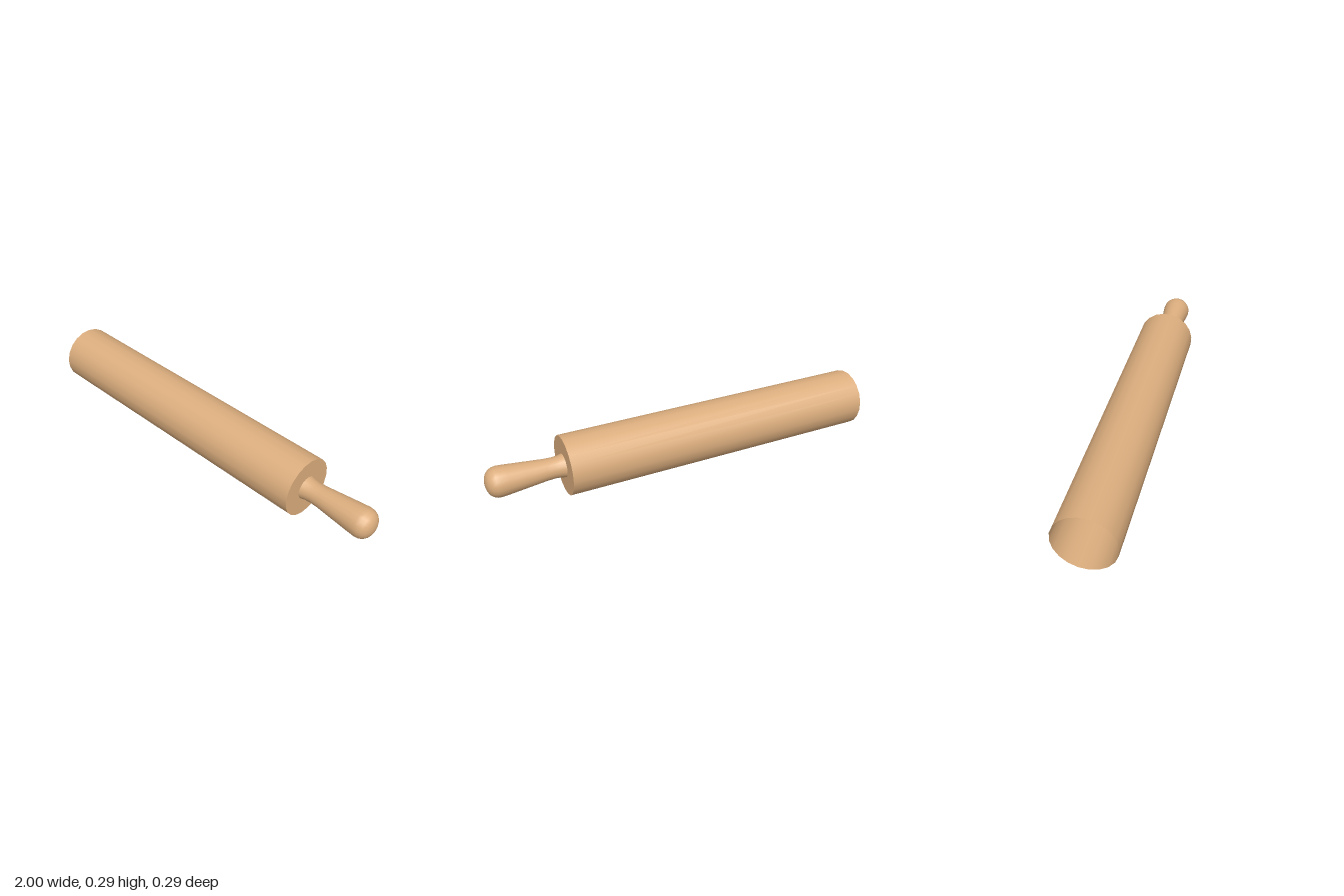
import * as THREE from 'three';

const SIDES = 20;
const RADIUS = 0.147;
const SHOULDER = 0.627;

export function createModel() {
  const group = new THREE.Group();
  group.name = 'rollingPin';
  const wood = new THREE.MeshStandardMaterial({ color: 0xdcae7e, side: THREE.DoubleSide });
  wood.name = 'lightWood';

  // Turns a profile of [x, radius] pairs around the pin's long axis
  function turned(name, profile) {
    const points = profile.map(([x, r]) => new THREE.Vector2(r, x));
    const geometry = new THREE.LatheGeometry(points, SIDES, THREE.MathUtils.degToRad(12));
    geometry.rotateZ(-Math.PI / 2);
    geometry.translate(0, RADIUS, 0);
    const mesh = new THREE.Mesh(geometry, wood);
    mesh.name = name;
    group.add(mesh);
  }

  // Hollow barrel, open at the -x end
  turned('barrel', [[-1, RADIUS], [SHOULDER, RADIUS]]);

  // Flat shoulder between barrel and handle
  turned('shoulder', [[SHOULDER, RADIUS], [SHOULDER, 0.058]]);

  // Waisted handle with a rounded tip
  turned('handle', [
    [SHOULDER, 0.058], [0.65, 0.053], [0.68, 0.051], [0.72, 0.053],
    [0.82, 0.063], [0.9, 0.071], [0.935, 0.074], [0.955, 0.072],
    [0.973, 0.064], [0.987, 0.05], [0.995, 0.033], [0.999, 0.016], [1, 0],
  ]);

  return group;
}
